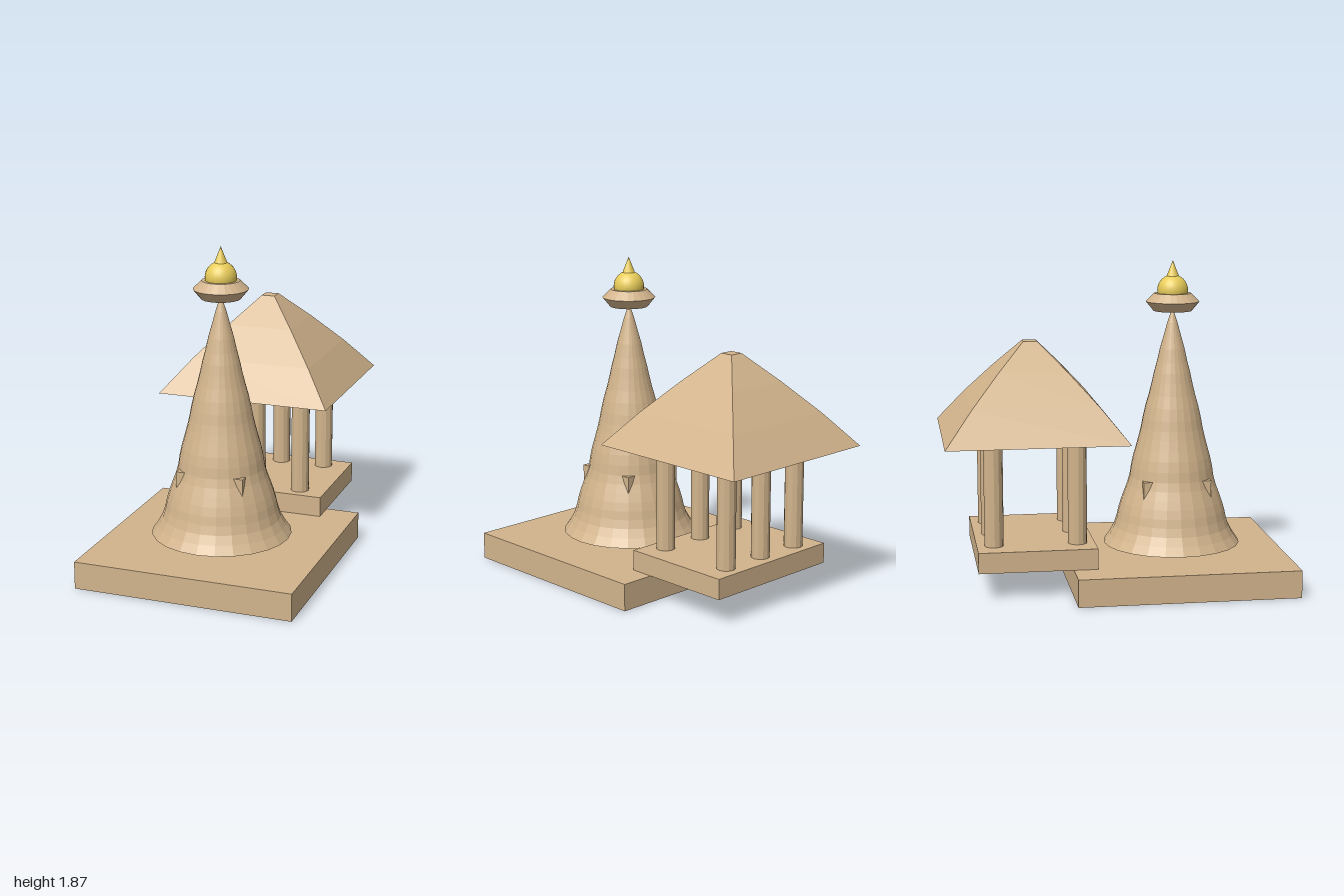
import * as THREE from 'three';

const stone = new THREE.MeshStandardMaterial({ color: 0xd2b48c, flatShading: true });
const gold = new THREE.MeshStandardMaterial({ color: 0xe8cc5a });

export function createModel() {
  const model = new THREE.Group();
  model.name = 'temple';

  const add = (parent, name, geometry, material, x, y, z) => {
    const mesh = new THREE.Mesh(geometry, material);
    mesh.name = name;
    mesh.position.set(x, y, z);
    parent.add(mesh);
    return mesh;
  };
  // Box given by its size and the height of its underside
  const addBox = (parent, name, w, h, d, y) =>
    add(parent, name, new THREE.BoxGeometry(w, h, d), stone, 0, y + h / 2, 0);
  // Turned solid from [radius, height] pairs, bottom to top
  const turned = (points, segments, start = 0) =>
    new THREE.LatheGeometry(points.map(([r, y]) => new THREE.Vector2(r, y)), segments, start);

  // Shrine: plinth, inner chamber and tower share one axis
  const shrine = new THREE.Group();
  shrine.name = 'shrine';
  shrine.position.z = 0.36;
  model.add(shrine);
  addBox(shrine, 'plinth', 1.28, 0.16, 1.28, 0);
  addBox(shrine, 'innerChamber', 0.4, 0.44, 0.4, 0.16);

  // Gently rippled, tapering tower
  const tower = [
    [0, 0.2], [0.405, 0.2], [0.37, 0.25], [0.343, 0.3], [0.327, 0.35], [0.316, 0.4],
    [0.301, 0.45], [0.283, 0.5], [0.264, 0.55], [0.25, 0.6], [0.241, 0.66], [0.228, 0.72],
    [0.211, 0.78], [0.195, 0.84], [0.183, 0.89], [0.172, 0.95], [0.156, 1.02], [0.136, 1.09],
    [0.119, 1.16], [0.106, 1.22], [0.09, 1.28], [0.072, 1.36], [0.052, 1.43], [0.03, 1.51], [0, 1.6],
  ];
  add(shrine, 'tower', turned(tower, 24), stone, 0, 0, 0);

  // Crowning disc and gilded finial
  add(shrine, 'crownDisc',
    turned([[0, 1.58], [0.112, 1.58], [0.157, 1.635], [0.108, 1.683], [0, 1.683]], 24), stone, 0, 0, 0);
  add(shrine, 'finialBall', new THREE.SphereGeometry(0.09, 24, 16), gold, 0, 1.7, 0);
  add(shrine, 'finialSpike', new THREE.ConeGeometry(0.038, 0.096, 16), gold, 0, 1.826, 0);

  // Open pillared hall behind the shrine
  const hall = new THREE.Group();
  hall.name = 'hall';
  hall.position.z = -0.48;
  model.add(hall);
  addBox(hall, 'hallFloor', 0.88, 0.12, 0.68, 0.16);

  // Two rows of three columns
  const column = new THREE.CylinderGeometry(0.055, 0.055, 0.61, 12);
  for (const x of [-0.28, 0, 0.28]) {
    for (const z of [-0.24, 0.24]) add(hall, 'column', column, stone, x, 0.58, z);
  }

  // Four-sided roof with slightly bowed slopes and a small flat top
  const roof = [[0, 0.885], [0.52, 0.885], [0.362, 1.08], [0.198, 1.26], [0.04, 1.42], [0, 1.42]]
    .map(([half, y]) => [half * Math.SQRT2, y]);
  add(hall, 'roof', turned(roof, 4, Math.PI / 4), stone, 0, 0, 0);

  return model;
}
